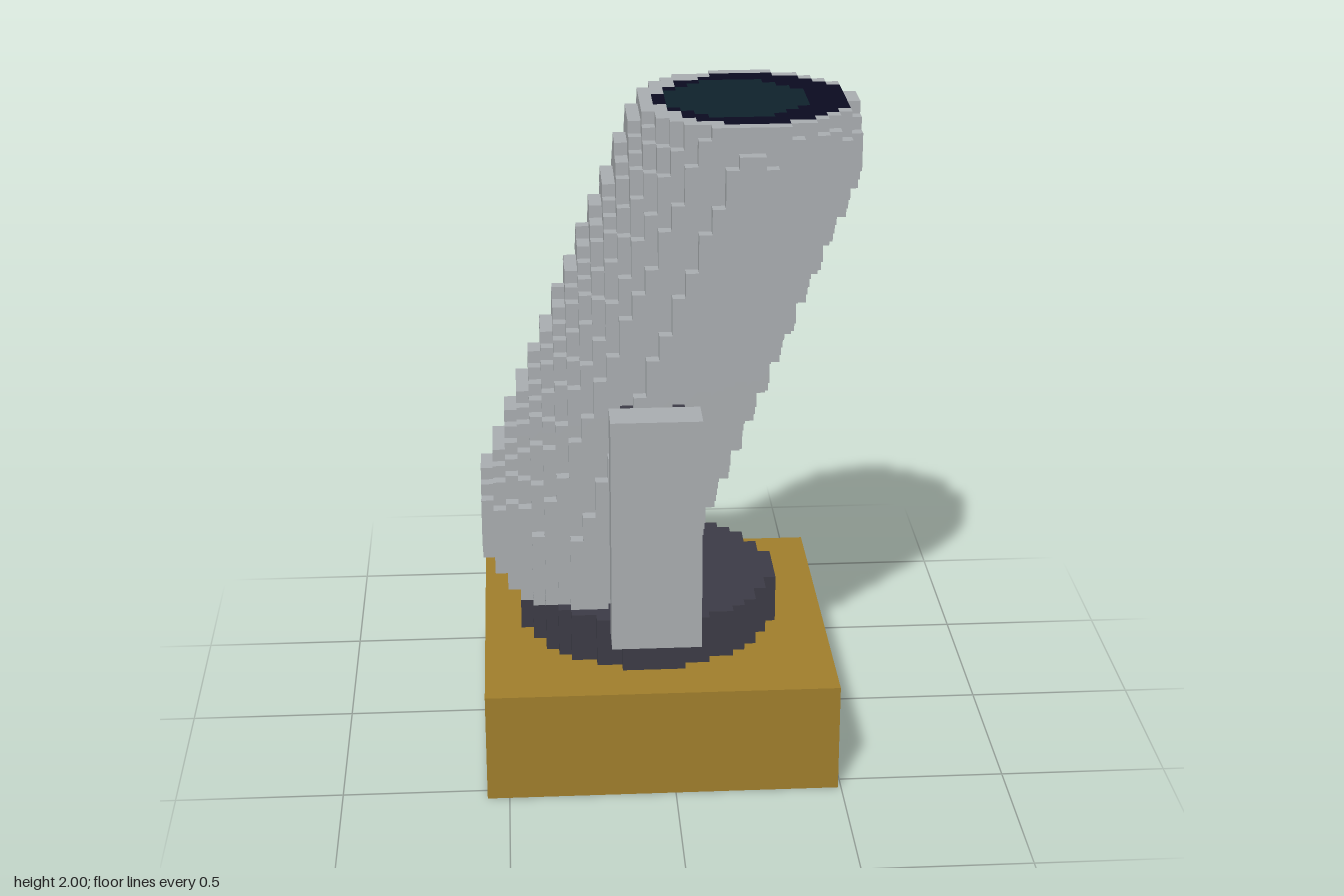
import * as THREE from 'three';

// The model sits on a grid of small cubes, NX x NY x NZ cells
const NX = 30, NY = 53, NZ = 29, S = 2 / NY;
const toX = i => (i - NX / 2) * S;
const toY = j => j * S;
const toZ = k => (k - NZ / 2) * S;

function makeMaterial(name, color) {
  const m = new THREE.MeshStandardMaterial({ color });
  m.name = name;
  return m;
}

// Block between two grid corners
function block(name, a, b, material) {
  const geo = new THREE.BoxGeometry((b[0] - a[0]) * S, (b[1] - a[1]) * S, (b[2] - a[2]) * S);
  const mesh = new THREE.Mesh(geo, material);
  mesh.position.set(toX((a[0] + b[0]) / 2), toY((a[1] + b[1]) / 2), toZ((a[2] + b[2]) / 2));
  mesh.name = name;
  return mesh;
}

// Slanted barrel: a capsule around an axis, cut flat at the top of the grid
const LOW = new THREE.Vector3(8.7, 19.1, 14.62);
const HIGH = new THREE.Vector3(21.1, 49.6, 14.62);
const axis = new THREE.Line3(LOW, HIGH);
const point = new THREE.Vector3(), nearest = new THREE.Vector3();
function inBarrel(i, j, k) {
  if (j >= NY) return false;
  point.set(i + 0.5, j + 0.5, k + 0.5);
  axis.closestPointToPoint(point, true, nearest);
  return point.distanceTo(nearest) <= 9;
}

const inDisc = (i, k, cx, cz, r) => Math.hypot(i + 0.5 - cx, k + 0.5 - cz) <= r;

// Which stepped part fills a cell
function partAt(i, j, k) {
  if (inBarrel(i, j, k)) {
    if (j === NY - 1 && inDisc(i, k, 20.5, 14.5, 5.6)) return 'lens';
    if (j === NY - 1 && inDisc(i, k, 21.8, 14.53, 7.4)) return 'lensRing';
    return 'barrel';
  }
  if (j >= 9 && j < 13 && inDisc(i, k, 13.5, 14.5, 10.25)) return 'turntable';
  return null;
}

// Outward direction and the four corners of each cube side, counter-clockwise
const SIDES = [
  [[1, 0, 0], [[1, 0, 0], [1, 1, 0], [1, 1, 1], [1, 0, 1]]],
  [[-1, 0, 0], [[0, 0, 0], [0, 0, 1], [0, 1, 1], [0, 1, 0]]],
  [[0, 1, 0], [[0, 1, 0], [0, 1, 1], [1, 1, 1], [1, 1, 0]]],
  [[0, -1, 0], [[0, 0, 0], [1, 0, 0], [1, 0, 1], [0, 0, 1]]],
  [[0, 0, 1], [[0, 0, 1], [1, 0, 1], [1, 1, 1], [0, 1, 1]]],
  [[0, 0, -1], [[0, 0, 0], [0, 1, 0], [1, 1, 0], [1, 0, 0]]],
];

// Only the exposed cube sides of the named part
function steppedPart(name, material) {
  const pos = [], norm = [], index = [];
  for (let i = 0; i < NX; i++)
    for (let j = 0; j < NY; j++)
      for (let k = 0; k < NZ; k++) {
        if (partAt(i, j, k) !== name) continue;
        for (const [d, corners] of SIDES) {
          if (partAt(i + d[0], j + d[1], k + d[2])) continue;
          const n = pos.length / 3;
          for (const c of corners) {
            pos.push(toX(i + c[0]), toY(j + c[1]), toZ(k + c[2]));
            norm.push(...d);
          }
          index.push(n, n + 1, n + 2, n, n + 2, n + 3);
        }
      }
  const geo = new THREE.BufferGeometry();
  geo.setAttribute('position', new THREE.Float32BufferAttribute(pos, 3));
  geo.setAttribute('normal', new THREE.Float32BufferAttribute(norm, 3));
  geo.setIndex(index);
  const mesh = new THREE.Mesh(geo, material);
  mesh.name = name;
  return mesh;
}

export function createModel() {
  const silver = makeMaterial('silver', 0xa9adb0);
  const gold = makeMaterial('gold', 0xa07e2c);
  const charcoal = makeMaterial('charcoal', 0x3c3b46);
  const navy = makeMaterial('navy', 0x0b0b20);
  const teal = makeMaterial('dark teal', 0x0f222c);

  const group = new THREE.Group();
  group.name = 'telescope';
  group.add(
    block('base', [0, 0, 1], [28, 9, 29], gold),
    steppedPart('turntable', charcoal),
    // Fork arms and the pivot running through the barrel
    block('backArm', [10, 13, 0], [17, 32, 4], silver),
    block('frontArm', [10, 13, 26], [17, 32, 29], silver),
    block('pivot', [11, 26, 4], [16, 31, 26], charcoal),
    // Tube with its glass
    steppedPart('barrel', silver),
    steppedPart('lensRing', navy),
    steppedPart('lens', teal),
  );
  return group;
}
